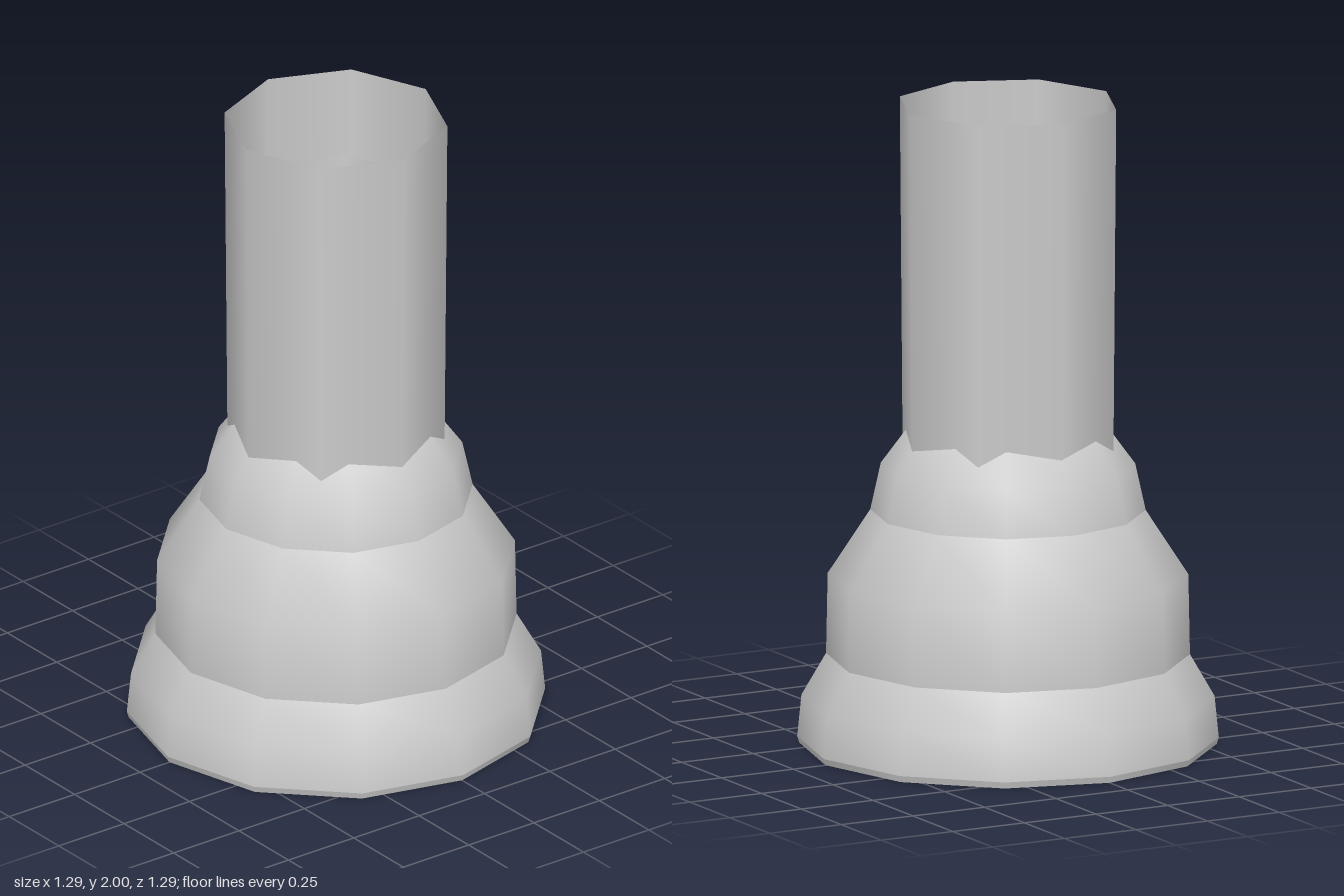
import * as THREE from 'three';

const solid = new THREE.MeshStandardMaterial({ color: 0xcccccc });
const thin = new THREE.MeshStandardMaterial({ color: 0xcccccc, side: THREE.DoubleSide });

// Smooth turned part from [radius, height] pairs, listed bottom to top
function turned(name, profile, sides, material = solid) {
  const points = profile.map(([r, y]) => new THREE.Vector2(r, y));
  const mesh = new THREE.Mesh(new THREE.LatheGeometry(points, sides), material);
  mesh.name = name;
  return mesh;
}

export function createModel() {
  const model = new THREE.Group();
  model.name = 'steppedColumn';

  // Twelve-sided stepped base
  model.add(turned('baseBottom', [[0, 0], [0.637, 0]], 12));
  model.add(turned('baseLip', [[0.637, 0], [0.643, 0.02]], 12));
  model.add(turned('baseBand', [[0.643, 0.02], [0.63, 0.15], [0.555, 0.28]], 12));
  model.add(turned('middleBand', [[0.555, 0.28], [0.55, 0.53], [0.42, 0.73]], 12));

  // Flattened dome that closes the base and runs on inside the tubes
  const dome = [];
  for (let i = 0; i <= 4; i++) {
    const a = (i * Math.PI) / 8;
    dome.push([0.42 * Math.cos(a), 0.73 + 0.38 * Math.sin(a)]);
  }
  model.add(turned('dome', dome, 12));

  // Open eight-sided tubes, slightly wider at the top
  model.add(turned('outerTube', [[0.334, 0.88], [0.343, 2]], 8, thin));
  model.add(turned('innerTube', [[0.174, 1.0], [0.2, 1.78]], 8, thin));

  return model;
}
